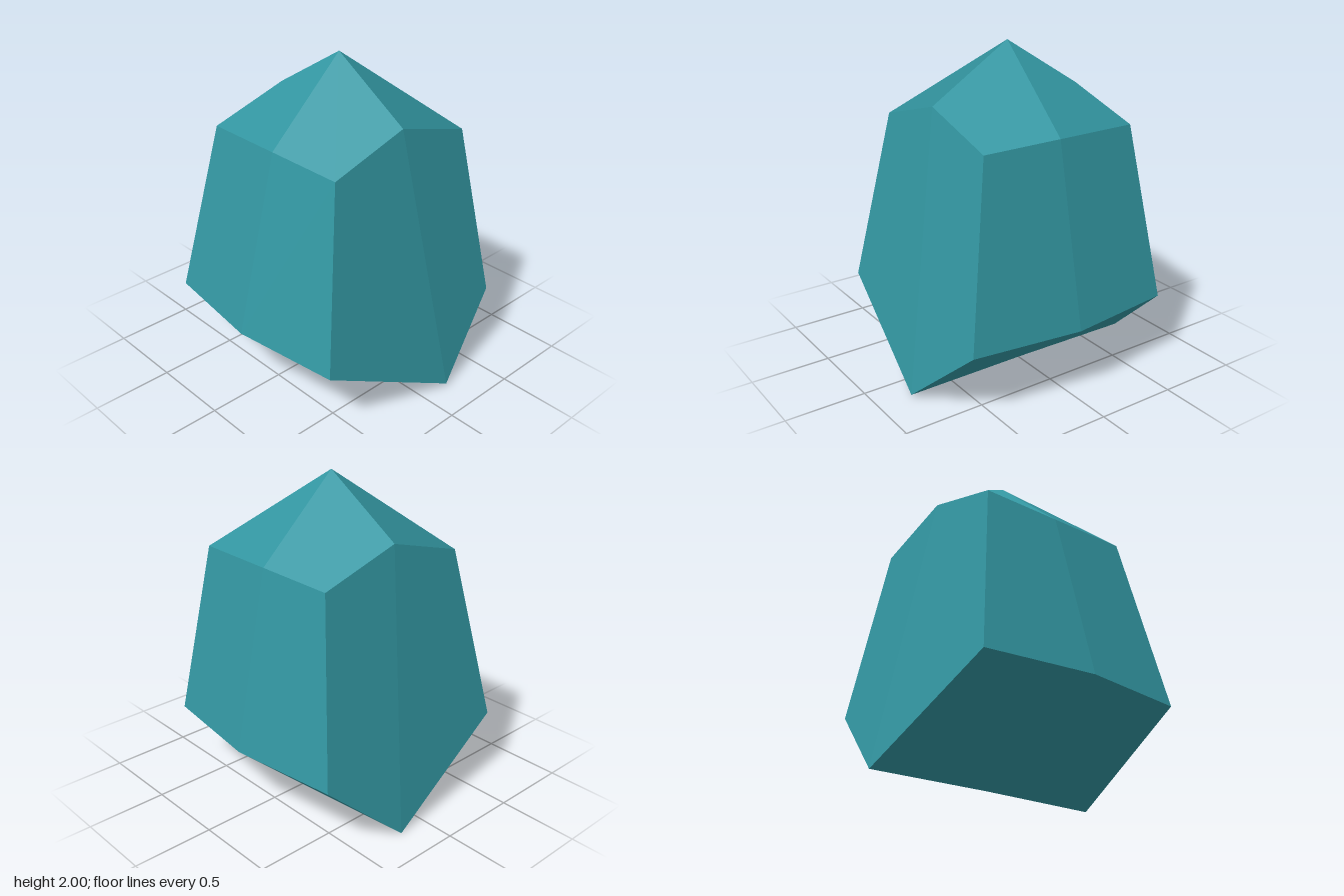
import * as THREE from 'three';

// Faceted boulder: a box split in two along x and z, with its corners shifted
export function createModel() {
  const teal = new THREE.MeshStandardMaterial({ color: 0x3397a2 });
  teal.name = 'teal';
  const v = (x, y, z) => new THREE.Vector3(x, y, z);

  // Points of the roof and the underside, by side: -1, 0 or 1 along x and z
  const roofY = { '0,0': 2, '1,0': 1.68, '0,1': 1.53, '1,1': 1.53 };
  const roof = (i, k) => v(-0.01 + i * 0.51, roofY[`${Math.abs(i)},${Math.abs(k)}`], -0.03 + k * 0.51);
  const base = (i, k) => {
    if (k === 0) return v(i * 0.79, i < 0 ? 0 : 0.012, -0.19);
    return v(-0.01 + i * 0.68, 0.44, k * (i === 0 ? 0.765 : 0.68));
  };

  // Adds four-sided facets, each with one normal and split along its outer diagonal
  function facets(name, quads) {
    const pos = [], nor = [];
    for (let [a, b, c, d] of quads) {
      const n = c.clone().sub(a).cross(d.clone().sub(b)).normalize();
      const out = p => p.dot(n);
      if (out(a) + out(c) < out(b) + out(d)) [a, b, c, d] = [b, c, d, a];
      for (const p of [a, b, c, a, c, d]) {
        pos.push(p.x, p.y, p.z);
        nor.push(n.x, n.y, n.z);
      }
    }
    const g = new THREE.BufferGeometry();
    g.setAttribute('position', new THREE.Float32BufferAttribute(pos, 3));
    g.setAttribute('normal', new THREE.Float32BufferAttribute(nor, 3));
    const mesh = new THREE.Mesh(g, teal);
    mesh.name = name;
    return mesh;
  }

  const top = [], under = [], walls = [];
  for (const i of [-1, 1]) for (const k of [-1, 1]) {
    // Corners run counter-clockwise for i * k > 0 and are reversed otherwise
    const turn = q => (i * k > 0 ? q : q.reverse());
    top.push(turn([roof(0, 0), roof(0, k), roof(i, k), roof(i, 0)]));
    under.push(turn([base(0, 0), base(i, 0), base(i, k), base(0, k)]));
    walls.push(turn([roof(0, k), base(0, k), base(i, k), roof(i, k)]));
    walls.push(turn([roof(i, k), base(i, k), base(i, 0), roof(i, 0)]));
  }

  const boulder = new THREE.Group();
  boulder.name = 'boulder';
  boulder.add(facets('roof', top), facets('walls', walls), facets('underside', under));
  return boulder;
}
